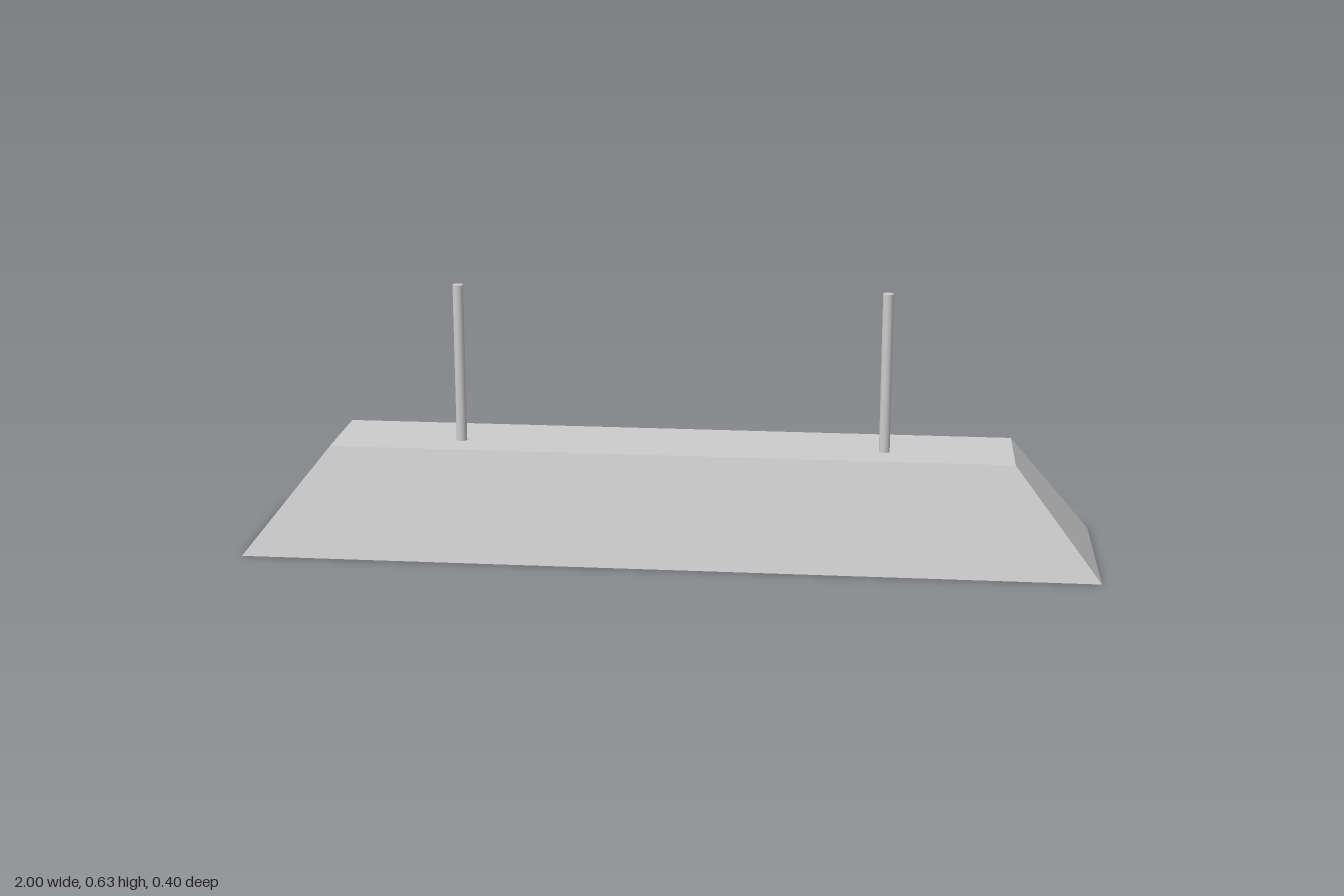
import * as THREE from 'three';

const material = new THREE.MeshStandardMaterial({ color: 0xcccccc, flatShading: true });
const rodMaterial = new THREE.MeshStandardMaterial({ color: 0xcccccc });

// Rectangular rings [half width, half depth, height], joined in order and capped at both ends
function rectLoft(rings) {
  const pos = [];
  const corners = rings.map(([w, d, y]) => [[w, y, d], [w, y, -d], [-w, y, -d], [-w, y, d]]);
  const quad = (a, b, c, d) => pos.push(...a, ...b, ...c, ...a, ...c, ...d);
  for (let r = 0; r < corners.length - 1; r++) {
    const upper = corners[r], lower = corners[r + 1];
    for (let i = 0; i < 4; i++) {
      const j = (i + 1) % 4;
      quad(upper[i], lower[i], lower[j], upper[j]);
    }
  }
  const first = corners[0], last = corners[corners.length - 1];
  quad(first[0], first[1], first[2], first[3]);
  quad(last[3], last[2], last[1], last[0]);
  const geometry = new THREE.BufferGeometry();
  geometry.setAttribute('position', new THREE.Float32BufferAttribute(pos, 3));
  geometry.computeVertexNormals();
  return geometry;
}

export function createModel() {
  const model = new THREE.Group();
  model.name = 'hangingLamp';

  // Hollow tapered shade: outer top, sharp rim, inner lip, inner ceiling
  const shade = new THREE.Mesh(rectLoft([
    [0.8, 0.112, 0.25],
    [1, 0.2, 0],
    [0.933, 0.172, 0.04],
    [0.78, 0.1, 0.18],
  ]), material);
  shade.name = 'shade';
  model.add(shade);

  // Two suspension rods standing on the top
  const bottom = 0.25, top = 0.627;
  const rodGeometry = new THREE.CylinderGeometry(0.0125, 0.0125, top - bottom, 24);
  for (const side of [1, -1]) {
    const rod = new THREE.Mesh(rodGeometry, rodMaterial);
    rod.name = side > 0 ? 'leftRod' : 'rightRod';
    rod.position.set(side * 0.5, (bottom + top) / 2, 0.03);
    model.add(rod);
  }
  return model;
}
